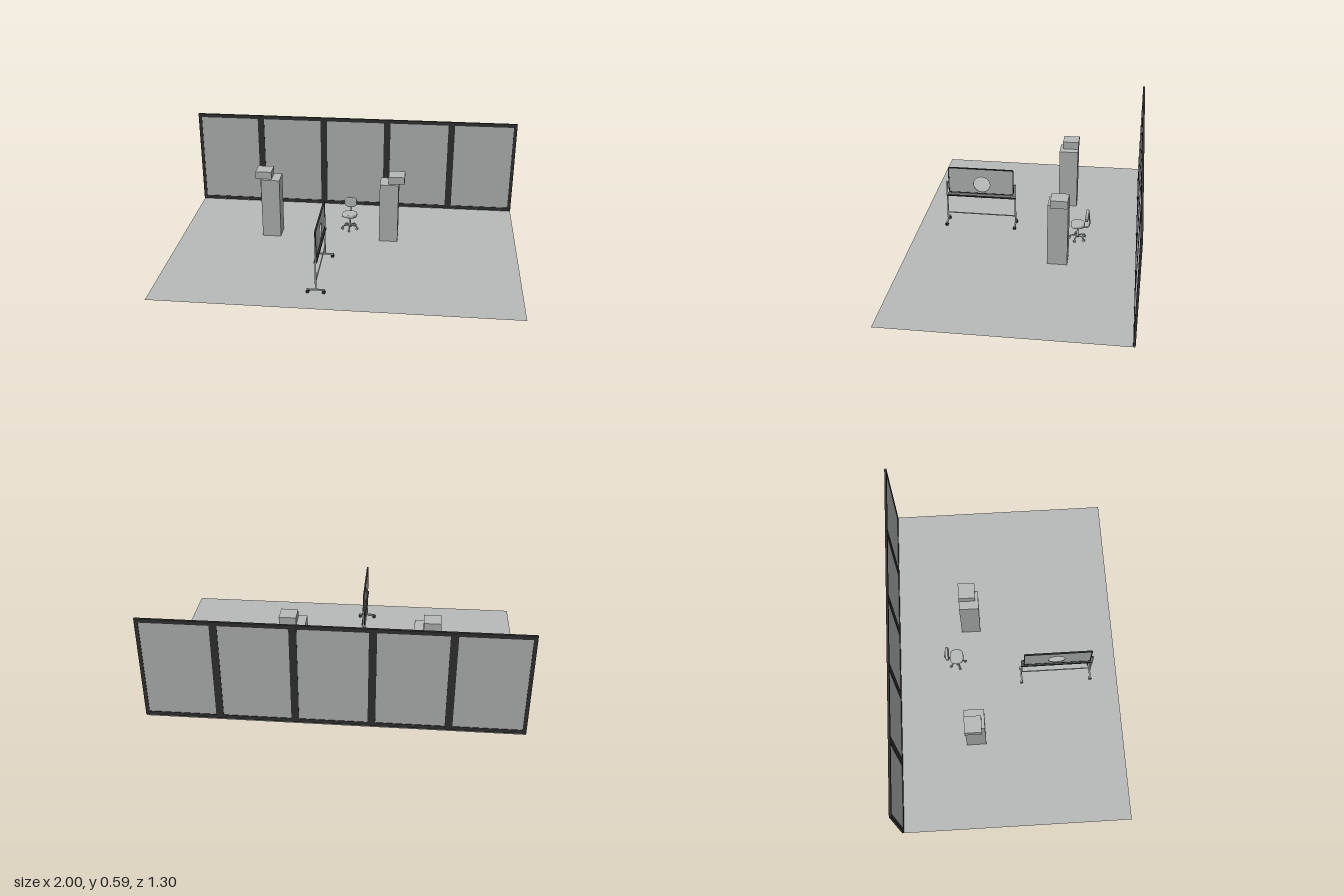
import * as THREE from 'three';

const grey = new THREE.MeshStandardMaterial({ color: 0xb9bbba, side: THREE.DoubleSide });
grey.name = 'paleGrey';
const dark = new THREE.MeshStandardMaterial({ color: 0x333333 });
dark.name = 'darkFrame';

function add(parent, name, geometry, material, x = 0, y = 0, z = 0) {
  const mesh = new THREE.Mesh(geometry, material);
  mesh.name = name;
  mesh.position.set(x, y, z);
  parent.add(mesh);
  return mesh;
}
const box = (w, h, d) => new THREE.BoxGeometry(w, h, d);
const rod = (r, h, n = 16) => new THREE.CylinderGeometry(r, r, h, n);

function group(parent, name, x = 0, y = 0, z = 0) {
  const g = new THREE.Group();
  g.name = name;
  g.position.set(x, y, z);
  parent.add(g);
  return g;
}

// Rounded rectangle outline centred on the origin
function roundedRect(w, h, r, Type = THREE.Shape) {
  const s = new Type();
  const x = w / 2, y = h / 2;
  s.moveTo(-x + r, -y);
  s.lineTo(x - r, -y).quadraticCurveTo(x, -y, x, -y + r);
  s.lineTo(x, y - r).quadraticCurveTo(x, y, x - r, y);
  s.lineTo(-x + r, y).quadraticCurveTo(-x, y, -x, y - r);
  s.lineTo(-x, -y + r).quadraticCurveTo(-x, -y, -x + r, -y);
  return s;
}
function plate(shape, depth) {
  const g = new THREE.ExtrudeGeometry(shape, { depth, bevelEnabled: false, curveSegments: 24 });
  return g.translate(0, 0, -depth / 2);
}

// Two-wheeled castor, wheel axle along x
function castor(parent, x, y, z, r, material) {
  const g = group(parent, 'castor', x, y, z);
  for (const s of [-1, 1]) {
    add(g, 'wheel', rod(r, r * 0.7), material, s * r * 0.5).rotation.z = Math.PI / 2;
  }
  add(g, 'castorStem', rod(r * 0.3, r * 1.6, 8), material, 0, r * 0.8);
  return g;
}

// Partition of five identical framed panes
function buildWall(root) {
  const wall = group(root, 'partitionWall', 0, 0.3, -0.644);
  for (let i = 0; i < 5; i++) {
    const panel = group(wall, 'wallPanel', -0.8 + i * 0.4);
    for (const s of [-1, 1]) {
      add(panel, 'frameUpright', box(0.02, 0.588, 0.012), dark, s * 0.19);
      add(panel, 'frameRail', box(0.36, 0.022, 0.012), dark, 0, s * 0.283);
    }
    add(panel, 'pane', box(0.36, 0.544, 0.006), grey);
  }
}

// Tall plinth carrying an offset box
function buildPlinth(root, side) {
  const g = group(root, 'plinth', -0.108, 0, 0);
  add(g, 'plinthColumn', box(0.11, 0.365, 0.112), grey, side * 0.352, 0.1845, -0.206);
  add(g, 'plinthTopBox', box(0.094, 0.045, 0.095), grey, side * 0.393, 0.3895, -0.2145);
}

// Mobile board with a round opening; its face looks along x
function buildBoard(root) {
  const stand = group(root, 'mobileBoard', -0.107, 0, 0.285);

  const panelShape = roundedRect(0.38, 0.156, 0.01);
  const hole = new THREE.Path();
  hole.absarc(-0.005, -0.02, 0.048, 0, Math.PI * 2, true);
  panelShape.holes.push(hole);
  add(stand, 'boardPanel', plate(panelShape, 0.005), grey, 0, 0.286).rotation.y = -Math.PI / 2;

  const rim = roundedRect(0.388, 0.163, 0.013);
  rim.holes.push(roundedRect(0.376, 0.151, 0.009, THREE.Path));
  add(stand, 'boardRim', plate(rim, 0.009), dark, 0, 0.286).rotation.y = -Math.PI / 2;

  add(stand, 'upperRail', box(0.008, 0.01, 0.405), grey, 0, 0.196);
  add(stand, 'penTray', box(0.018, 0.007, 0.412), dark, 0, 0.186);
  add(stand, 'trayKnob', rod(0.004, 0.012), dark, 0.004, 0.184, -0.003);
  add(stand, 'lowerRail', rod(0.0035, 0.405), grey, 0, 0.069).rotation.x = Math.PI / 2;

  for (const s of [-1, 1]) {
    const z = s * 0.204;
    add(stand, 'post', box(0.008, 0.252, 0.008), grey, 0, 0.149, z);
    add(stand, 'pivot', rod(0.004, 0.02), dark, 0, 0.268, s * 0.197).rotation.x = Math.PI / 2;
    add(stand, 'foot', box(0.1, 0.007, 0.009), grey, 0, 0.022, z);
    for (const e of [-1, 1]) castor(stand, e * 0.044, 0.01, z, 0.009, dark).rotation.y = Math.PI / 2;
  }
}

// Swivel chair on a five-star base
function buildChair(root) {
  const chair = group(root, 'swivelChair', 0, 0, -0.298);

  const base = group(chair, 'starBase');
  for (let i = 0; i < 5; i++) {
    const leg = group(base, 'baseLeg');
    leg.rotation.y = (i * Math.PI * 2) / 5;
    const path = new THREE.QuadraticBezierCurve3(
      new THREE.Vector3(0, 0.025, 0.003), new THREE.Vector3(0, 0.028, 0.03), new THREE.Vector3(0, 0.018, 0.048));
    add(leg, 'legArm', new THREE.TubeGeometry(path, 8, 0.0038, 8), grey);
    castor(leg, 0, 0.008, 0.047, 0.007, grey);
  }

  // Stepped gas column
  const profile = [[0, 0.016], [0.009, 0.016], [0.009, 0.03], [0.007, 0.032], [0.006, 0.058],
    [0.0035, 0.059], [0.0035, 0.08], [0.014, 0.083], [0.014, 0.088], [0, 0.088]];
  add(chair, 'gasColumn', new THREE.LatheGeometry(profile.map(p => new THREE.Vector2(...p)), 20), grey);

  // Cushions with softened edges
  const cushion = (w, h, r, t) => {
    const b = t * 0.35;
    const g = new THREE.ExtrudeGeometry(roundedRect(w - 2 * b, h - 2 * b, r), {
      depth: t - 2 * b, bevelSize: b, bevelThickness: b, bevelSegments: 4, curveSegments: 10 });
    return g.translate(0, 0, b - t / 2);
  };
  const seat = add(chair, 'seatCushion', cushion(0.09, 0.08, 0.03, 0.022), grey, 0, 0.097, 0);
  seat.rotation.x = -Math.PI / 2;
  const back = add(chair, 'backCushion', cushion(0.08, 0.064, 0.027, 0.018), grey, 0, 0.157, -0.053);
  back.rotation.x = -0.08;

  // Curved strut joining seat and back
  const strut = new THREE.CatmullRomCurve3([[0.084, -0.01], [0.08, -0.045], [0.088, -0.062],
    [0.115, -0.069], [0.15, -0.063]].map(([y, z]) => new THREE.Vector3(0, y, z)));
  const strutMesh = add(chair, 'backStrut', new THREE.TubeGeometry(strut, 24, 0.004, 8), grey);
  strutMesh.scale.x = 1.8;
  add(chair, 'backBracket', box(0.03, 0.03, 0.006), grey, 0, 0.155, -0.064);

  // Height lever
  add(chair, 'lever', rod(0.002, 0.045, 8), grey, -0.03, 0.082, 0).rotation.z = Math.PI / 2;
}

export function createModel() {
  const root = new THREE.Group();
  root.name = 'exhibitionRoom';
  add(root, 'floor', new THREE.PlaneGeometry(2, 1.3), grey).rotation.x = -Math.PI / 2;
  buildWall(root);
  for (const side of [-1, 1]) buildPlinth(root, side);
  buildBoard(root);
  buildChair(root);
  return root;
}
